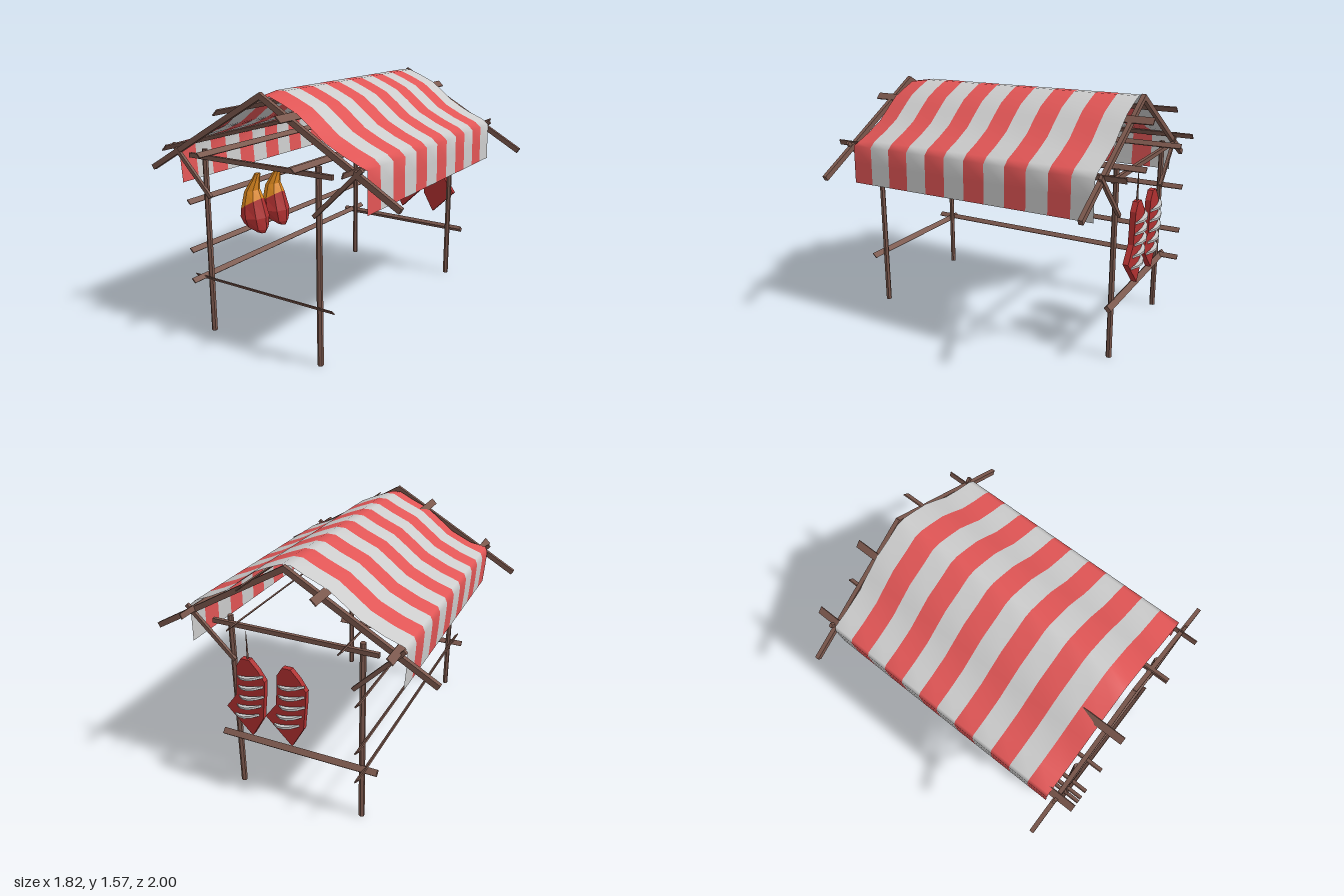
import * as THREE from 'three';

const mat = (color, extra = {}) => new THREE.MeshStandardMaterial({ color, ...extra });

export function createModel() {
  const model = new THREE.Group();
  const wood = mat(0x7a574c, { flatShading: true });
  const red = mat(0xe05555, { side: THREE.DoubleSide });
  const grey = mat(0xcccccc, { side: THREE.DoubleSide });
  const meat = mat(0xb03030, { flatShading: true });
  const rind = mat(0xe08a20, { flatShading: true });
  const bone = mat(0xcccccc, { flatShading: true });

  const add = (name, geometry, material, x = 0, y = 0, z = 0, parent = model) => {
    const mesh = new THREE.Mesh(geometry, material);
    mesh.name = name;
    mesh.position.set(x, y, z);
    parent.add(mesh);
    return mesh;
  };

  // A square timber between two points of a plane of constant z
  const timber = (name, x1, y1, x2, y2, z, w) => {
    const length = Math.hypot(x2 - x1, y2 - y1);
    const m = add(name, new THREE.BoxGeometry(length, w, w * 0.8), wood, (x1 + x2) / 2, (y1 + y2) / 2, z);
    m.rotation.z = Math.atan2(y2 - y1, x2 - x1);
  };

  // End frames: posts, cross rails, braces and rafters
  for (const [end, zPost, zRafter] of [['front', 0.87, 0.885], ['back', -0.85, -0.86]]) {
    const out = Math.sign(zPost);
    for (const x of [-0.46, 0.38]) {
      add(end + 'Post', new THREE.CylinderGeometry(0.018, 0.019, 1.2, 6), wood, x, 0.6, zPost);
    }
    timber(end + 'TopRail', -0.565, 1.155, 0.488, 1.155, zPost + out * 0.02, 0.028);
    const low = add(end + 'LowRail', new THREE.BoxGeometry(1.05, 0.04, end === 'front' ? 0.006 : 0.026), wood,
      -0.04, 0.368, zPost + out * 0.02);
    low.rotation.x = Math.PI / 4;
    timber(end + 'Brace', -0.71, 1.21, -0.41, 0.905, zPost + out * 0.02, 0.025);
    timber(end + 'Brace', 0.67, 1.22, 0.36, 0.915, zPost + out * 0.02, 0.025);
    timber(end + 'Rafter', -0.9, 1.035, 0.01, 1.56, zRafter, 0.034);
    timber(end + 'Rafter', 0.9, 1.035, -0.01, 1.56, zRafter, 0.034);
  }

  // Long thin slats running front to back: [name, x, y, width, tilt]
  const q = Math.PI / 4;
  for (const [name, x, y, w, tilt] of [
    ['sideRail', -0.49, 0.89, 0.036, -q],
    ['sideRail', -0.49, 0.58, 0.036, -q],
    ['sideRail', -0.49, 0.38, 0.036, -q],
    ['eaveRail', -0.39, 1.19, 0.038, -q],
    ['eaveRail', 0.30, 1.19, 0.038, -q],
    ['purlin', -0.67, 1.205, 0.05, q],
    ['purlin', -0.24, 1.455, 0.05, q],
    ['purlin', 0.21, 1.455, 0.05, -q],
    ['purlin', 0.62, 1.205, 0.035, 1.25],
  ]) {
    add(name, new THREE.BoxGeometry(w, 0.008, 2), wood, x, y, 0).rotation.z = tilt;
  }

  // Striped canopy: twelve strips bent over one sagging profile
  const profile = [
    [-0.695, 0.95], [-0.705, 1.08], [-0.71, 1.18], [-0.695, 1.215], [-0.58, 1.255], [-0.44, 1.32],
    [-0.35, 1.39], [-0.25, 1.465], [-0.12, 1.52], [-0.03, 1.565], [0.03, 1.565], [0.12, 1.53],
    [0.22, 1.485], [0.3, 1.425], [0.4, 1.345], [0.52, 1.285], [0.63, 1.24], [0.67, 1.205],
    [0.672, 1.09], [0.675, 0.96],
  ];
  const canopy = new THREE.Group();
  canopy.name = 'canopy';
  model.add(canopy);
  const n = profile.length, depth = 0.14;
  for (let s = 0; s < 12; s++) {
    const g = new THREE.PlaneGeometry(1, 1, n - 1, 1);
    const p = g.attributes.position;
    for (let i = 0; i < p.count; i++) {
      const [x, y] = profile[i % n];
      const z = 0.84 - depth * (s + (i < n ? 1 : 0));
      const droop = z > 0.8 && y > 1.22 ? 0.02 : 0; // front edge sags slightly
      p.setXYZ(i, x, y - droop, z);
    }
    g.computeVertexNormals();
    add(s % 2 ? 'greyStripe' : 'redStripe', g, s % 2 ? grey : red, 0, 0, 0, canopy);
  }

  // Closed loft through elliptical rings [y, centreX, radiusX, radiusZ, tilt], listed top to bottom
  const loft = (rings, sides = 8) => {
    const pos = [], index = [];
    for (const [y, cx, rx, rz, tilt = 0] of rings) {
      for (let i = 0; i < sides; i++) {
        const a = (i / sides) * Math.PI * 2;
        pos.push(cx + rx * Math.cos(a), y + tilt * Math.cos(a), rz * Math.sin(a));
      }
    }
    for (let r = 0; r < rings.length - 1; r++) {
      for (let i = 0; i < sides; i++) {
        const j = (i + 1) % sides, a = r * sides, b = a + sides;
        index.push(a + i, a + j, b + i, a + j, b + j, b + i);
      }
    }
    const last = (rings.length - 1) * sides;
    for (let i = 1; i < sides - 1; i++) {
      index.push(0, i + 1, i, last, last + i, last + i + 1);
    }
    const g = new THREE.BufferGeometry();
    g.setAttribute('position', new THREE.Float32BufferAttribute(pos, 3));
    g.setIndex(index);
    g.computeVertexNormals();
    return g;
  };

  // Two hanging hams with a golden shank
  const seam = [0.79, -0.375, 0.075, 0.078, 0.045];
  const shank = loft([[1.0, -0.325, 0.018, 0.02], [0.95, -0.345, 0.03, 0.03], [0.88, -0.375, 0.052, 0.052, 0.01], seam]);
  const thigh = loft([seam, [0.71, -0.358, 0.092, 0.095], [0.65, -0.35, 0.085, 0.075, -0.02], [0.61, -0.312, 0.035, 0.03, -0.005]]);
  for (const z of [0.55, 0.335]) {
    const ham = new THREE.Group();
    ham.name = 'ham';
    ham.position.z = z;
    add('hamShank', shank, rind, 0, 0, 0, ham);
    add('hamThigh', thigh, meat, 0, 0, 0, ham);
    model.add(ham);
  }

  // Two rib slabs hung behind the back frame
  const slabShape = new THREE.Shape([
    [-0.06, 0.985], [-0.11, 0.93], [-0.155, 0.86], [-0.15, 0.78], [-0.13, 0.6], [-0.05, 0.46],
    [0.12, 0.63], [0.045, 0.73], [0.03, 0.93], [-0.005, 0.985],
  ].map(([x, y]) => new THREE.Vector2(x, y)));
  const slabGeometry = new THREE.ExtrudeGeometry(slabShape, { depth: 0.035, bevelEnabled: false });
  const ribShape = new THREE.Shape();
  ribShape.moveTo(-0.09, 0);
  ribShape.quadraticCurveTo(0, 0.09, 0.09, 0);
  ribShape.quadraticCurveTo(0, 0.03, -0.09, 0);
  const ribGeometry = new THREE.ExtrudeGeometry(ribShape, { depth: 0.014, bevelEnabled: false, curveSegments: 4 });
  ribGeometry.rotateX(-Math.PI / 2);
  for (const x of [0, 0.27]) {
    const slab = new THREE.Group();
    slab.name = 'ribSlab';
    slab.position.x = x;
    add('slabMeat', slabGeometry, meat, 0, 0, -0.95, slab);
    for (let i = 0; i < 5; i++) {
      const rib = add('rib', ribGeometry, bone, -0.06 + (i > 2 ? 0.02 * (i - 2) : 0), 0.87 - i * 0.068, -0.948, slab);
      rib.rotation.z = -0.2;
    }
    model.add(slab);
  }
  add('hangingCord', new THREE.CylinderGeometry(0.002, 0.008, 0.18, 4), wood, 0.23, 1.07, -0.93);

  return model;
}
